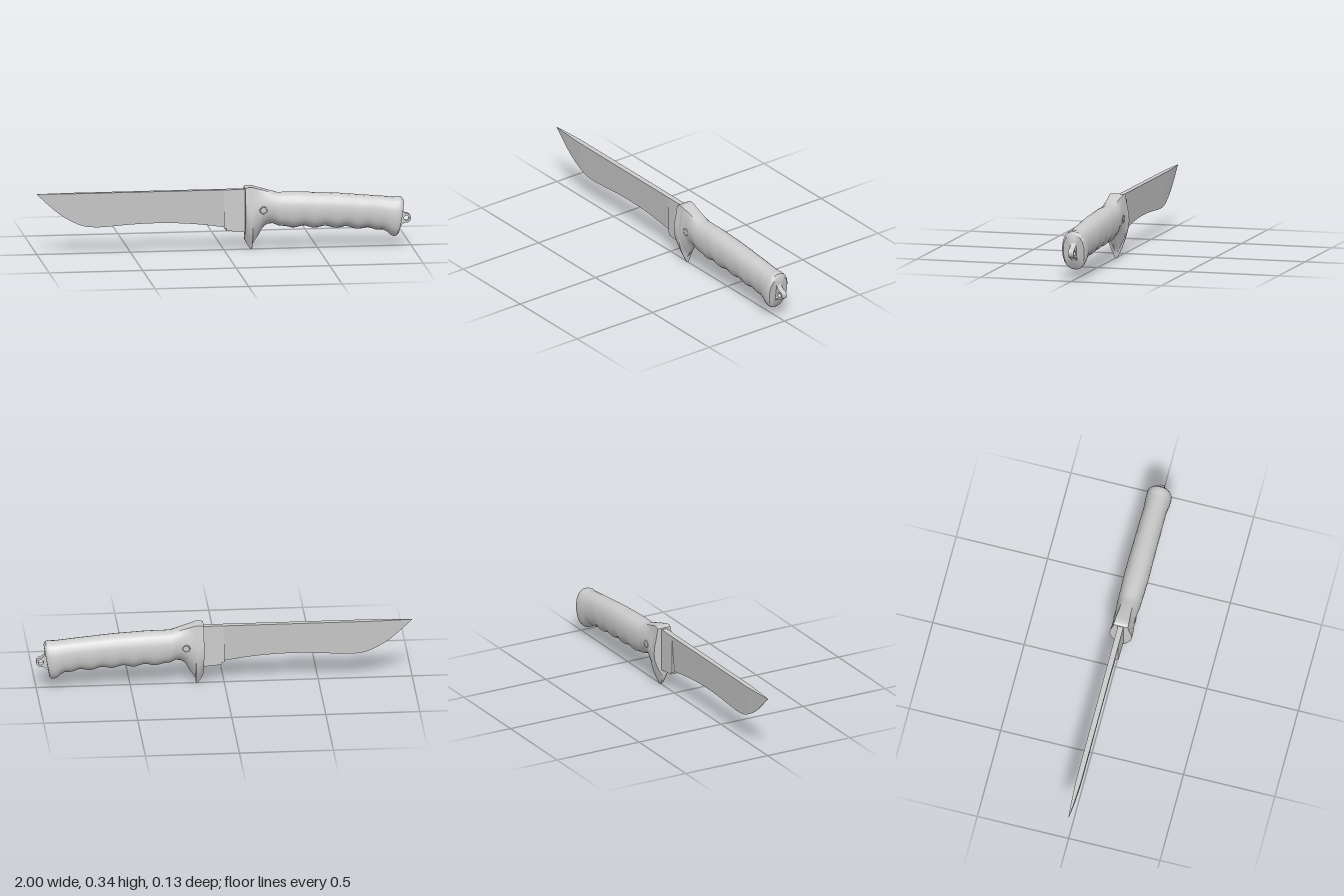
import * as THREE from 'three';
import { toCreasedNormals } from 'three/addons/utils/BufferGeometryUtils.js';

const material = new THREE.MeshStandardMaterial({ color: 0xcccccc });

// Linear interpolation through [x, value] keys
function along(keys, x) {
  if (x <= keys[0][0]) return keys[0][1];
  for (let i = 1; i < keys.length; i++) {
    const [x0, a] = keys[i - 1], [x1, b] = keys[i];
    if (x <= x1) return a + (b - a) * (x - x0) / (x1 - x0);
  }
  return keys[keys.length - 1][1];
}

// Closed skin over rings running toward +x; each ring goes top, +z, bottom, -z
function loft(rings, crease) {
  const n = rings[0].length, pos = [], index = [];
  rings.forEach(r => r.forEach(p => pos.push(...p)));
  for (let i = 0; i < rings.length - 1; i++) {
    for (let j = 0; j < n; j++) {
      const k = (j + 1) % n, a = i * n + j, b = i * n + k;
      index.push(a, b, b + n, a, b + n, a + n);
    }
  }
  const last = (rings.length - 1) * n;
  [[rings[0], 0, true], [rings[rings.length - 1], last, false]].forEach(([ring, base, flip]) => {
    const c = pos.length / 3;
    pos.push(...[0, 1, 2].map(d => ring.reduce((s, p) => s + p[d], 0) / n));
    for (let j = 0; j < n; j++) {
      const a = base + j, b = base + (j + 1) % n;
      index.push(c, flip ? b : a, flip ? a : b);
    }
  });
  const g = new THREE.BufferGeometry();
  g.setAttribute('position', new THREE.Float32BufferAttribute(pos, 3));
  g.setIndex(index);
  return toCreasedNormals(g, crease);
}

function addMesh(group, name, geometry) {
  const mesh = new THREE.Mesh(geometry, material);
  mesh.name = name;
  group.add(mesh);
  return mesh;
}

function bladeGeometry() {
  const edge = new THREE.SplineCurve([
    [-1, 0.324], [-0.93, 0.258], [-0.87, 0.208], [-0.81, 0.172], [-0.75, 0.147], [-0.68, 0.139],
    [-0.6, 0.142], [-0.5, 0.149], [-0.38, 0.153], [-0.25, 0.15], [-0.12, 0.139], [0.02, 0.119],
  ].map(p => new THREE.Vector2(...p)));
  const thickness = [[-1, 0.001], [-0.93, 0.007], [-0.8, 0.014], [0, 0.015]];
  const rings = edge.getPoints(48).map(({ x, y }) => {
    const w = along(thickness, x);
    return [[x, 0.326, w], [x, y, 0.001], [x, y, -0.001], [x, 0.326, -w]];
  });
  return loft(rings, 0.4);
}

function handleGeometry() {
  const top = [[0.11, 0.334], [0.125, 0.34], [0.15, 0.339], [0.2, 0.327], [0.25, 0.313], [0.285, 0.303],
    [0.4, 0.302], [0.6, 0.291], [0.8, 0.272], [0.89, 0.262], [0.92, 0.264], [0.935, 0.26], [0.945, 0.244]];
  const bottom = [[0.11, 0.055], [0.12, 0.032], [0.132, 0.014], [0.142, 0.003], [0.15, 0], [0.153, 0.03],
    [0.17, 0.058], [0.185, 0.078], [0.2, 0.108], [0.215, 0.126], [0.235, 0.137], [0.26, 0.139],
    [0.285, 0.127], [0.32, 0.12], [0.6, 0.111], [0.8, 0.096], [0.86, 0.089], [0.885, 0.076],
    [0.9, 0.062], [0.92, 0.053], [0.935, 0.054], [0.945, 0.064]];
  const width = [[0.11, 0.061], [0.2, 0.056], [0.28, 0.062], [0.45, 0.067], [0.85, 0.062],
    [0.9, 0.067], [0.935, 0.067], [0.945, 0.058]];
  const roundness = [[0.15, 0], [0.3, 1]];
  const slant = [[0.75, 0], [0.92, 0.03]];
  // Half outlines as [width, height] fractions from top to bottom
  const guard = [[0.3, 1], [0.64, 1], [0.72, 0.9], [0.82, 0.78], [0.96, 0.63], [1, 0.5],
    [0.92, 0.36], [0.75, 0.25], [0.5, 0.14], [0.25, 0.05], [0.13, 0]];
  const grip = guard.map((p, i) => {
    const a = Math.PI * (i + 0.5) / guard.length;
    const bulge = v => Math.sign(v) * Math.abs(v) ** 0.88;
    return [bulge(Math.sin(a)), 0.5 + 0.5 * bulge(Math.cos(a)) / bulge(Math.cos(Math.PI / 22))];
  });

  const stations = new Set([...top, ...bottom].map(k => k[0]));
  for (let x = 0.3; x < 0.87; x += 0.015) stations.add(x);
  const rings = [...stations].sort((a, b) => a - b).map(x => {
    const t = along(top, x), w = along(width, x), r = along(roundness, x), s = along(slant, x);
    // Finger grooves ripple the underside
    const fade = along([[0.29, 0], [0.35, 1], [0.8, 1], [0.86, 0]], x);
    const b = along(bottom, x) + 0.006 * fade * Math.cos((x - 0.31) * Math.PI * 2 / 0.115);
    const half = guard.map((p, i) => {
      const h = THREE.MathUtils.lerp(p[1], grip[i][1], r);
      return [x + s * (h - 0.5), b + (t - b) * h, w * THREE.MathUtils.lerp(p[0], grip[i][0], r)];
    });
    return [...half, ...half.map(([px, y, z]) => [px, y, -z]).reverse()];
  });
  return loft(rings, 0.75);
}

function extrudeCentred(shape, depth) {
  const g = new THREE.ExtrudeGeometry(shape, { depth, bevelEnabled: false, curveSegments: 16 });
  return g.translate(0, 0, -depth / 2);
}

export function createModel() {
  const model = new THREE.Group();
  model.name = 'knife';

  addMesh(model, 'blade', bladeGeometry());

  // Full-thickness block where the blade enters the guard
  const heel = new THREE.Shape([[0, 0.326], [0, 0.118], [0.012, 0.116], [0.012, 0.104], [0.12, 0.095], [0.12, 0.326]]
    .map(p => new THREE.Vector2(...p)));
  addMesh(model, 'bladeHeel', extrudeCentred(heel, 0.03));

  addMesh(model, 'handleAndGuard', handleGeometry());

  // Cross pin: a raised rim around a flat head on each side
  for (const side of [1, -1]) {
    const pin = new THREE.Group();
    pin.name = side > 0 ? 'pinFront' : 'pinBack';
    pin.position.set(0.205, 0.218, side * 0.052);
    addMesh(pin, 'pinHead', new THREE.CylinderGeometry(0.017, 0.017, 0.01, 20)).rotation.x = Math.PI / 2;
    addMesh(pin, 'pinRim', new THREE.TorusGeometry(0.018, 0.003, 8, 24)).position.z = side * 0.004;
    model.add(pin);
  }

  // Lanyard eye on the pommel
  const eye = new THREE.Shape();
  eye.moveTo(0.93, 0.105);
  eye.lineTo(0.943, 0.105);
  eye.quadraticCurveTo(0.954, 0.122, 0.972, 0.124);
  eye.absarc(0.975, 0.149, 0.025, -Math.PI / 2, Math.PI / 2, false);
  eye.quadraticCurveTo(0.96, 0.178, 0.952, 0.2);
  eye.lineTo(0.93, 0.2);
  eye.closePath();
  const hole = new THREE.Path();
  hole.absarc(0.975, 0.149, 0.014, 0, Math.PI * 2, true);
  eye.holes.push(hole);
  addMesh(model, 'lanyardEye', extrudeCentred(eye, 0.03));

  return model;
}
